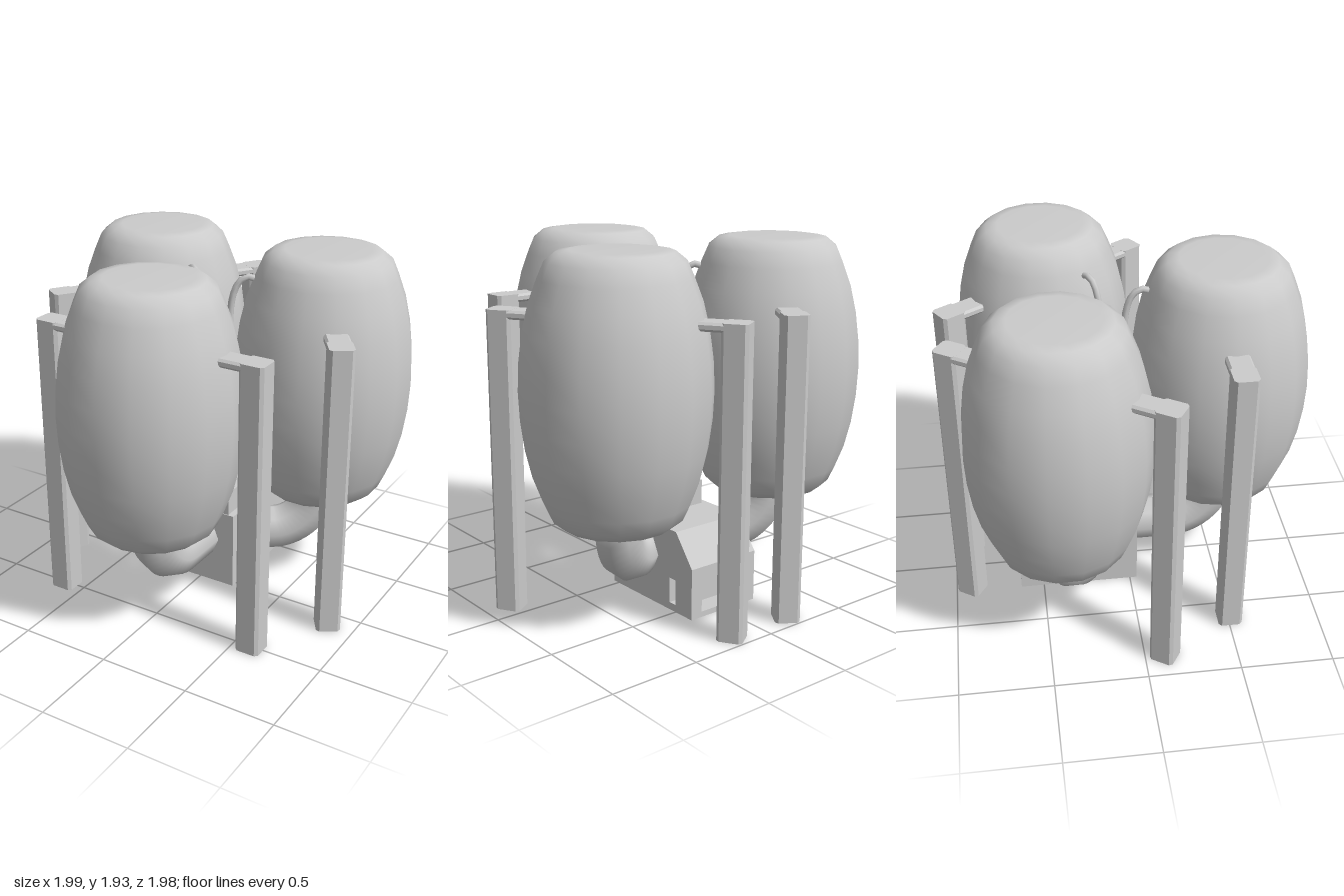
import * as THREE from 'three';

const material = new THREE.MeshStandardMaterial({ color: 0xcccccc });

function part(name, geometry, parent) {
  const mesh = new THREE.Mesh(geometry, material);
  mesh.name = name;
  parent.add(mesh);
  return mesh;
}

const v = (x, y, z) => new THREE.Vector3(x, y, z);

// Barrel outline, mirrored about its middle height
function tankGeometry() {
  const half = [[0.485, 0.0], [0.478, 0.15], [0.458, 0.3], [0.425, 0.44], [0.38, 0.56], [0.345, 0.64], [0.29, 0.685], [0.23, 0.694], [0, 0.694]];
  const lower = half.slice(1).reverse().map(([r, y]) => new THREE.Vector2(r, -y));
  const upper = half.map(([r, y]) => new THREE.Vector2(r, y));
  return new THREE.LatheGeometry([...lower, ...upper], 16);
}

// Square post with chamfered corners, standing on y = 0
function postGeometry(w, d, c, height) {
  const x = w / 2, z = d / 2;
  const outline = [[x, z - c], [x - c, z], [c - x, z], [-x, z - c], [-x, c - z], [c - x, -z], [x - c, -z], [x, c - z]];
  const shape = new THREE.Shape(outline.map(([a, b]) => new THREE.Vector2(a, b)));
  return new THREE.ExtrudeGeometry(shape, { depth: height, bevelEnabled: false }).rotateX(-Math.PI / 2);
}

// One tank with its legs, elbow and hose; local -z points to the middle
function createTankUnit(name) {
  const unit = new THREE.Group();
  unit.name = name;
  part('tank', tankGeometry(), unit).position.y = 1.234;

  for (const side of [1, -1]) {
    part('leg', postGeometry(0.135, 0.13, 0.016, 1.61), unit).position.x = side * 0.607;
    const arm = part('legArm', postGeometry(0.045, 0.13, 0.012, 0.16), unit);
    arm.rotation.z = Math.PI / 2;
    arm.position.set(side * 0.5 + 0.08, 1.587, 0);
  }

  // Elbow from tank bottom into the base
  const elbow = new THREE.CurvePath();
  const k = 0.25;
  elbow.add(new THREE.LineCurve3(v(0, 0.62, 0), v(0, 0.275 + k, 0)));
  elbow.add(new THREE.CubicBezierCurve3(v(0, 0.275 + k, 0), v(0, 0.275 + k * 0.45, 0), v(0, 0.275, -k * 0.55), v(0, 0.275, -k)));
  elbow.add(new THREE.LineCurve3(v(0, 0.275, -k), v(0, 0.275, -0.51)));
  part('elbowPipe', new THREE.TubeGeometry(elbow, 20, 0.126, 8), unit);

  // Thin hose over the shoulder and down to the manifold
  const hose = new THREE.CurvePath();
  hose.add(new THREE.CubicBezierCurve3(v(0, 1.74, -0.34), v(0, 1.82, -0.42), v(0, 1.78, -0.5), v(0, 1.58, -0.51)));
  hose.add(new THREE.LineCurve3(v(0, 1.58, -0.51), v(0, 0.53, -0.51)));
  part('hose', new THREE.TubeGeometry(hose, 32, 0.018, 8), unit);
  return unit;
}

// Slab of the base: side profile in (z, y), extruded across x
function baseSlab(name, points, x0, x1, parent, slot) {
  const shape = new THREE.Shape(points.map(([z, y]) => new THREE.Vector2(-z, y)));
  if (slot) {
    const [z0, z1, y0, y1] = slot;
    shape.holes.push(new THREE.Path([[z0, y0], [z0, y1], [z1, y1], [z1, y0]].map(([z, y]) => new THREE.Vector2(-z, y))));
  }
  const geometry = new THREE.ExtrudeGeometry(shape, { depth: x1 - x0, bevelEnabled: false });
  geometry.rotateY(Math.PI / 2);
  part(name, geometry, parent).position.x = x0;
}

function createBase() {
  const base = new THREE.Group();
  base.name = 'base';
  const top = [[-0.63, 0.28], [-0.5, 0.45], [0.04, 0.45], [0.04, 0]];
  const outer = [[-0.63, 0], ...top];
  const notched = [[-0.52, 0], [-0.52, 0.19], [-0.63, 0.19], ...top];
  baseSlab('baseCore', notched, -0.155, 0.145, base);
  for (const [x0, x1] of [[-0.225, -0.155], [0.145, 0.215]]) {
    baseSlab('baseCheek', outer, x0, x1, base, [-0.5, -0.45, 0.04, 0.18]);
  }
  // Lip under the rear opening
  part('rearLip', new THREE.BoxGeometry(0.3, 0.03, 0.11), base).position.set(-0.005, 0.015, -0.575);
  // Raised manifold block
  part('manifold', new THREE.BoxGeometry(0.37, 0.15, 0.27), base).position.set(-0.005, 0.51, -0.1);
  return base;
}

export function createModel() {
  const model = new THREE.Group();
  model.name = 'tankCluster';
  model.add(createBase());
  const turn = THREE.MathUtils.degToRad(123);
  const layout = [['frontUnit', -0.007, 0.506, 0], ['leftUnit', 0.517, -0.4, turn], ['rightUnit', -0.522, -0.4, -turn]];
  for (const [name, x, z, angle] of layout) {
    const unit = createTankUnit(name);
    unit.position.set(x, 0, z);
    unit.rotation.y = angle;
    model.add(unit);
  }
  return model;
}
